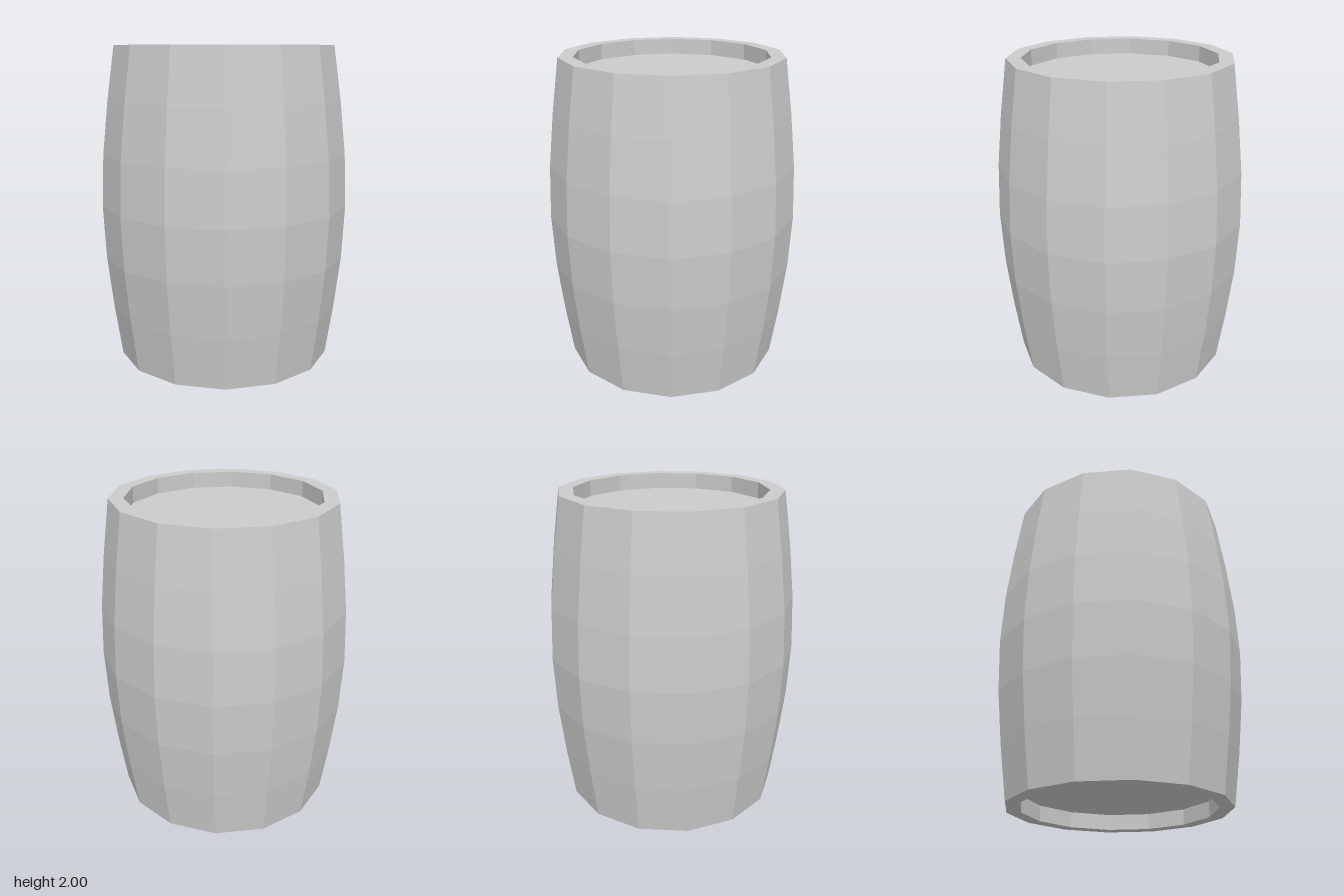
import * as THREE from 'three';

const SIDES = 14;
const RIM = 0.6; // inner radius of the rims
const RECESS = 0.1; // depth of each lid below its rim

export function createModel() {
  const barrel = new THREE.Group();
  barrel.name = 'barrel';
  const material = new THREE.MeshStandardMaterial({ color: 0xcccccc, flatShading: true });

  // Bulging wall with flat rims and short inner walls at both ends
  const profile = [
    [RIM, RECESS], [RIM, 0],
    [0.69, 0], [0.738, 1 / 3], [0.775, 2 / 3], [0.79, 1],
    [0.775, 4 / 3], [0.738, 5 / 3], [0.69, 2],
    [RIM, 2], [RIM, 2 - RECESS],
  ].map(([r, y]) => new THREE.Vector2(r, y));
  const wall = new THREE.Mesh(new THREE.LatheGeometry(profile, SIDES), material);
  wall.name = 'staves';
  barrel.add(wall);

  // Recessed lids, facing outwards
  for (const [name, y, turn] of [['topLid', 2 - RECESS, -1], ['bottomLid', RECESS, 1]]) {
    const geometry = new THREE.CircleGeometry(RIM, SIDES, Math.PI / 2);
    geometry.rotateX(turn * Math.PI / 2);
    const lid = new THREE.Mesh(geometry, material);
    lid.name = name;
    lid.position.y = y;
    barrel.add(lid);
  }

  return barrel;
}
